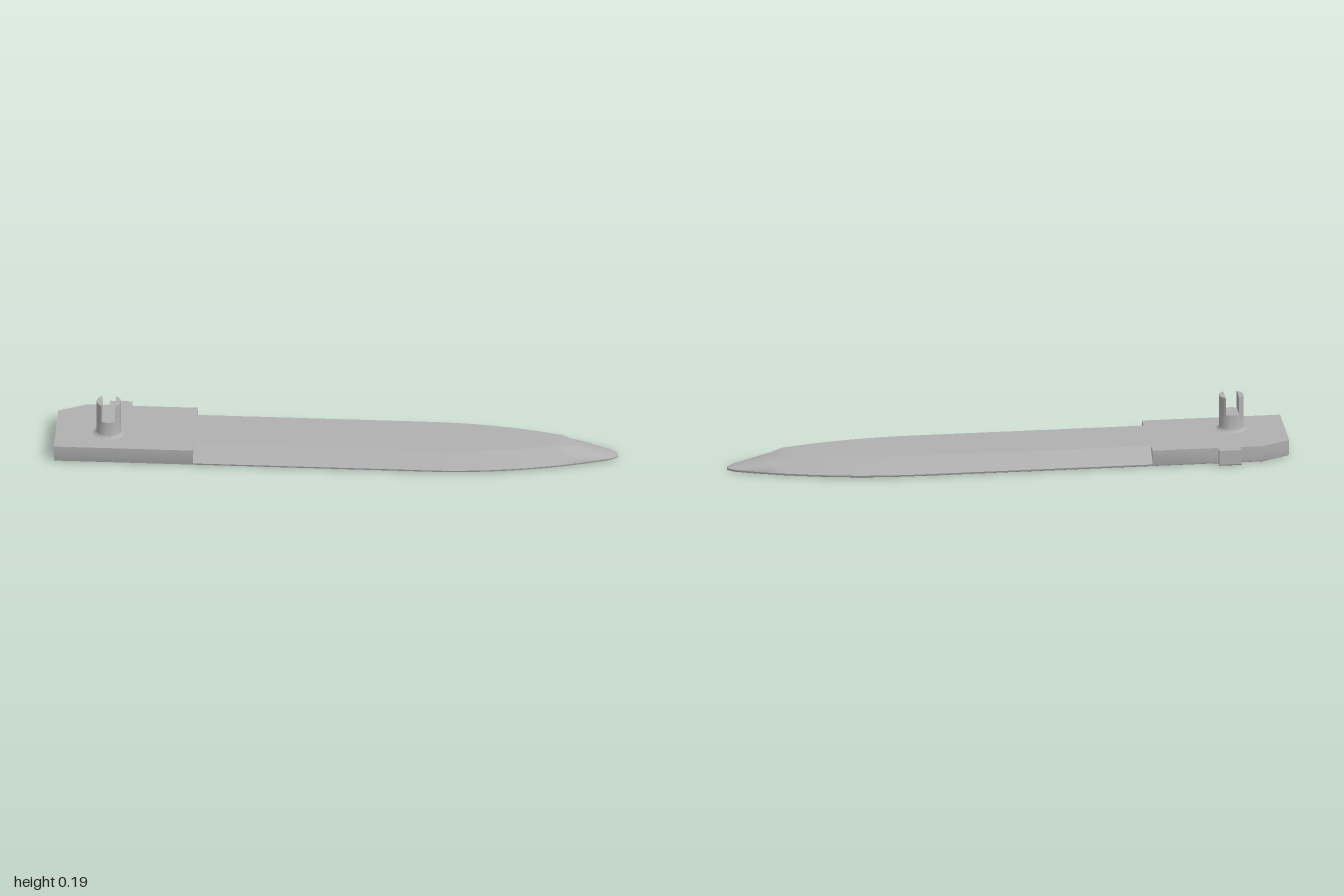
import * as THREE from 'three';
import { toCreasedNormals } from 'three/addons/utils/BufferGeometryUtils.js';

// Skin a list of convex rings and cap both ends
function loft(rings, crease) {
  const pos = [];
  const n = rings[0].length;
  const tri = (...pts) => pts.forEach(p => pos.push(...p));
  const centre = ring => [0, 1, 2].map(k => ring.reduce((s, p) => s + p[k], 0) / n);
  const first = rings[0], last = rings[rings.length - 1];
  for (let i = 0; i < n; i++) {
    const j = (i + 1) % n;
    for (let r = 0; r < rings.length - 1; r++) {
      const a = rings[r], b = rings[r + 1];
      tri(a[i], b[i], b[j]);
      tri(a[i], b[j], a[j]);
    }
    tri(centre(first), first[i], first[j]);
    tri(centre(last), last[j], last[i]);
  }
  const g = new THREE.BufferGeometry();
  g.setAttribute('position', new THREE.Float32BufferAttribute(pos, 3));
  return toCreasedNormals(g, crease);
}

export function createModel() {
  const group = new THREE.Group();
  const grey = new THREE.MeshStandardMaterial({ color: 0xb0b0b0 });
  grey.name = 'grey';
  const add = (name, geometry) => {
    const m = new THREE.Mesh(geometry, grey);
    m.name = name;
    group.add(m);
    return m;
  };

  const H = 0.06, LIP = 0.008, ROOT = -0.505, MID = 0.016;

  // Tang: flat block with one clipped corner and an eased bottom edge
  const outline = [[ROOT, 0.172], [-1, 0.172], [-1, -0.09], [-0.9, -0.14], [ROOT, -0.14]];
  const level = (y, inset) => outline.map(([x, z]) =>
    [x < -0.95 ? x + inset : x, y, z - Math.sign(z) * inset]);
  add('tang', loft([level(0, 0.006), level(0.002, 0.002), level(LIP, 0), level(H, 0)], 0.6));

  // Small tab on the back edge, rounded along its lower outer edge
  const tabShape = new THREE.Shape();
  tabShape.moveTo(0.12, 0.002);
  tabShape.lineTo(0.164, 0.002);
  tabShape.quadraticCurveTo(0.172, 0.002, 0.172, 0.01);
  tabShape.lineTo(0.172, H);
  tabShape.lineTo(0.12, H);
  const tab = add('sideTab', new THREE.ExtrudeGeometry(tabShape, { depth: 0.08, bevelEnabled: false }));
  tab.rotation.y = Math.PI / 2;
  tab.position.x = -0.82;

  // Blade: bevelled section that narrows and melts into a rounded sloping nose
  const STEPS = 6;
  const section = x => {
    let w = 0.156 - 0.3 * Math.max(0, x - 0.33) ** 2;
    if (x > 0.97) w *= Math.sqrt(Math.max(0.004, 1 - ((x - 0.97) / 0.03) ** 2));
    const t = THREE.MathUtils.clamp((x - 0.8) / 0.2, 0, 1);
    const rise = (H - LIP) * (1 - t) + 0.001 * t;
    const top = Math.max(w - rise, w * 0.3);
    const round = Math.min(1, t * 2.5);
    const side = [[w - Math.min(0.006, w * 0.4), 0], [w - Math.min(0.002, w * 0.1), 0.002]];
    for (let i = 0; i <= STEPS; i++) {
      const s = i / STEPS, a = s * Math.PI / 2 * 0.9;
      const straight = [w + (top - w) * s, LIP + rise * s];
      const curved = [w * Math.cos(a), LIP + rise * Math.sin(a)];
      side.push([0, 1].map(k => straight[k] + (curved[k] - straight[k]) * round));
    }
    const left = side.map(([z, y]) => [x, y, MID + z]);
    const right = side.map(([z, y]) => [x, y, MID - z]).reverse();
    return [...left, ...right];
  };
  const stations = [ROOT, 0.33];
  for (let x = 0.38; x < 0.795; x += 0.06) stations.push(x);
  stations.push(0.8, 0.82, 0.85, 0.88, 0.91, 0.94, 0.96, 0.97, 0.98, 0.988, 0.994, 0.998, 1);
  add('blade', loft(stations.map(section), 0.5));

  // Peg with a filleted foot
  const R = 0.0435, SLOT_Y = 0.123, TOP = 0.187, PX = -0.811, PZ = 0.057;
  const profile = [];
  for (let i = 0; i <= 6; i++) {
    const a = i / 6 * Math.PI / 2;
    profile.push(new THREE.Vector2(R + 0.015 * (1 - Math.sin(a)), H + 0.015 * (1 - Math.cos(a))));
  }
  profile.push(new THREE.Vector2(R, SLOT_Y), new THREE.Vector2(0, SLOT_Y));
  const peg = add('peg', toCreasedNormals(new THREE.LatheGeometry(profile, 40), 0.5));
  peg.position.set(PX, 0, PZ);

  // Two prongs left standing beside the slot
  const half = Math.acos(0.024 / R);
  for (const turn of [0, Math.PI]) {
    const s = new THREE.Shape();
    s.absarc(0, 0, R, turn - half, turn + half, false);
    s.closePath();
    const g = new THREE.ExtrudeGeometry(s, { depth: TOP - SLOT_Y, bevelEnabled: false, curveSegments: 16 });
    g.rotateX(-Math.PI / 2);
    const prong = add(turn ? 'rightProng' : 'leftProng', toCreasedNormals(g, 0.5));
    prong.position.set(PX, SLOT_Y, PZ);
  }
  return group;
}
